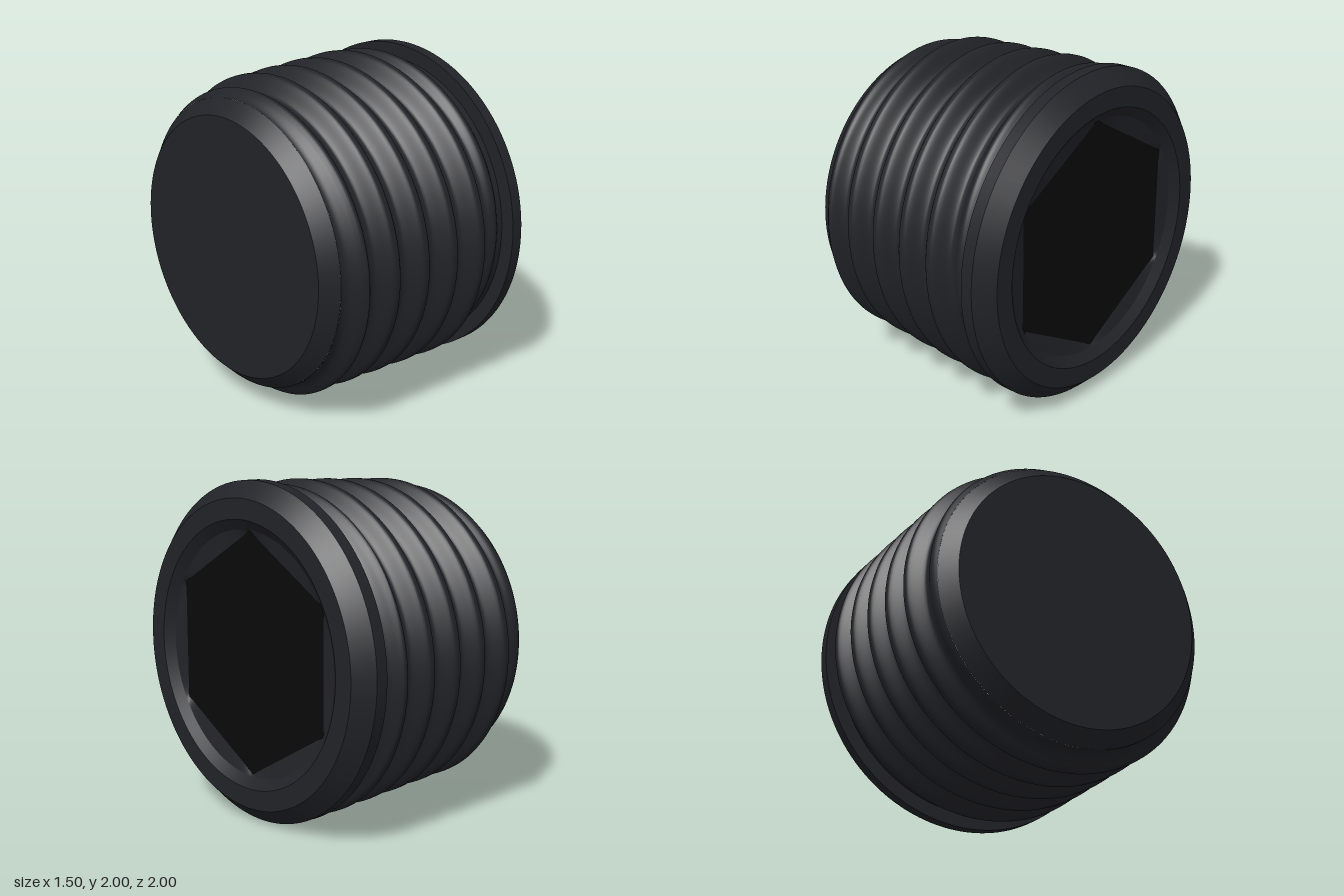
import * as THREE from 'three';

const SEG = 144;
const AXIS_Y = 1;
const clamp = THREE.MathUtils.clamp;

// Skin of rings around the x axis; point(u, angle) returns [x, radius]
function skin(rows, point) {
  const pos = [], index = [];
  for (let i = 0; i <= rows; i++) {
    for (let j = 0; j < SEG; j++) {
      const a = (j / SEG) * Math.PI * 2;
      const [x, r] = point(i / rows, a);
      pos.push(x, AXIS_Y + r * Math.cos(a), r * Math.sin(a));
    }
  }
  for (let i = 0; i < rows; i++) {
    for (let j = 0; j < SEG; j++) {
      const k = (j + 1) % SEG;
      const a = i * SEG + j, b = i * SEG + k, c = a + SEG, d = b + SEG;
      index.push(a, b, c, b, d, c);
    }
  }
  const geo = new THREE.BufferGeometry();
  geo.setAttribute('position', new THREE.Float32BufferAttribute(pos, 3));
  geo.setIndex(index);
  geo.computeVertexNormals();
  return geo;
}

// Hexagon radius with a corner pointing straight up
const SIXTH = Math.PI / 3;
const hexRadius = (a) => 0.622 / Math.cos((a % SIXTH) - SIXTH / 2);

// Helical thread on a slight taper, fading out at each end
const PITCH = 0.22;
const START = -0.665, END = 0.535;
function threadRadius(x, a) {
  const phase = (x + 0.39) / PITCH - a / (Math.PI * 2);
  const wave = clamp(0.5 + 0.55 * Math.cos(phase * Math.PI * 2), 0, 1);
  const fade = Math.min(1, (x - START) / 0.135, (END - x) / 0.095);
  return 0.892 + 0.04 * x + (0.085 + 0.005 * x) * wave * fade;
}

export function createModel() {
  const model = new THREE.Group();
  const body = new THREE.MeshStandardMaterial({ color: 0x222328 });
  const dark = new THREE.MeshStandardMaterial({ color: 0x0a0a0a });

  const add = (name, geo, mat = body) => {
    const mesh = new THREE.Mesh(geo, mat);
    mesh.name = name;
    model.add(mesh);
  };
  // Straight band between two [x, radius] pairs; a radius may be a function of angle
  const at = (r, a) => (typeof r === 'function' ? r(a) : r);
  const band = (name, [x0, r0], [x1, r1], mat) =>
    add(name, skin(1, (u, a) => [
      x0 + (x1 - x0) * u,
      at(r0, a) * (1 - u) + at(r1, a) * u,
    ]), mat);

  // Closed tip
  band('tipFace', [-0.75, 0], [-0.75, 0.78]);
  band('tipChamfer', [-0.75, 0.78], [START, 0.865]);

  // Threaded shank
  add('thread', skin(150, (u, a) => {
    const x = START + u * (END - START);
    return [x, threadRadius(x, a)];
  }));
  band('neck', [END, 0.913], [0.578, 0.915]);

  // Flange
  band('flangeBack', [0.578, 0.915], [0.578, 1]);
  band('flangeRim', [0.578, 1], [0.653, 1]);
  band('flangeChamfer', [0.653, 1], [0.75, 0.905]);
  band('flangeFace', [0.75, 0.905], [0.75, 0.785]);

  // Countersink around a dark hexagonal inset
  band('countersink', [0.75, 0.785], [0.705, 0.725]);
  band('socketShoulder', [0.705, 0.725], [0.688, hexRadius]);
  band('hexInset', [0.688, hexRadius], [0.688, 0], dark);

  return model;
}
